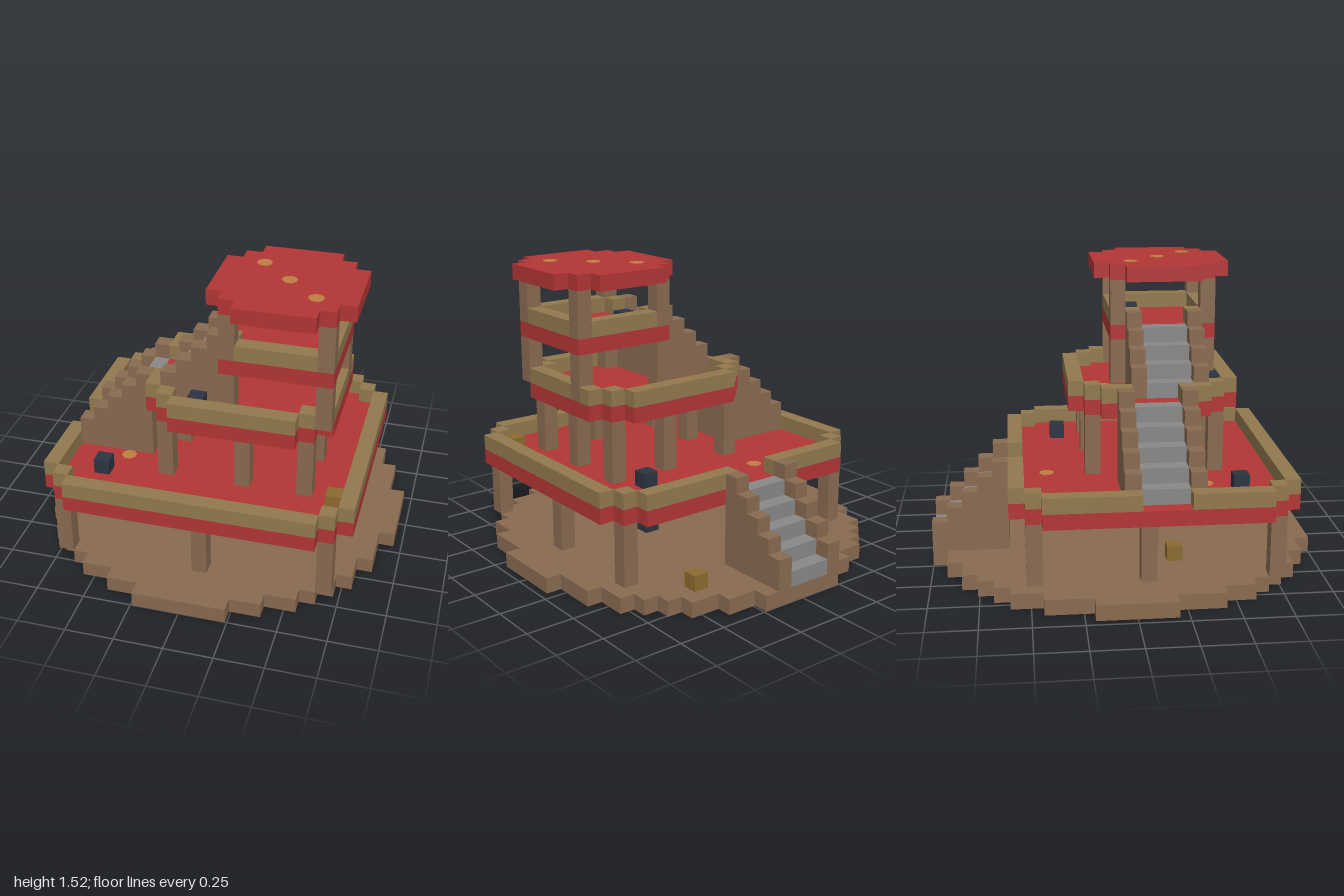
import * as THREE from 'three';
import { mergeGeometries } from 'three/addons/utils/BufferGeometryUtils.js';

// All plans use cells of size U; column 0 starts at x = 0, row 0 at z = -1.
const U = 0.08, Z0 = -1;
const mat = (name, color) => {
  const m = new THREE.MeshStandardMaterial({ color });
  m.name = name;
  return m;
};

const box = (x, y, z, w, h, d) =>
  new THREE.BoxGeometry(w * U, h * U, d * U).translate((x + w / 2) * U, (y + h / 2) * U, (z + d / 2) * U);

function mesh(name, geometry, material) {
  const m = new THREE.Mesh(geometry, material);
  m.name = name;
  return m;
}

// Repeat a [x0, x1] row n times
const rep = (n, row) => Array.from({ length: n }, () => row);

// One-cell-thick slab whose outline follows the rows
function slab(rows, k0, y) {
  const pts = [];
  const add = (x, k) => pts.push(new THREE.Vector2(x * U, -(Z0 + k * U)));
  rows.forEach((r, i) => { add(r[1], k0 + i); add(r[1], k0 + i + 1); });
  [...rows].reverse().forEach((r, i) => {
    const k = k0 + rows.length - i;
    add(r[0], k); add(r[0], k - 1);
  });
  const clean = pts.filter((p, i) => i === 0 || !p.equals(pts[i - 1]));
  return new THREE.ExtrudeGeometry(new THREE.Shape(clean), { depth: U, bevelEnabled: false })
    .rotateX(-Math.PI / 2).translate(0, y * U, 0);
}

// Railing on every edge cell of a deck, except where isGap is true
function railing(rows, k0, y, isGap) {
  const inside = (x, i) => rows[i] !== undefined && x >= rows[i][0] && x < rows[i][1];
  const parts = [];
  rows.forEach((r, i) => {
    for (let x = r[0]; x < r[1]; x++) {
      const edge = !(inside(x - 1, i) && inside(x + 1, i) && inside(x, i - 1) && inside(x, i + 1));
      if (edge && !isGap(x, k0 + i)) parts.push(box(x, y, k0 + i, 1, 1, 1));
    }
  });
  return mergeGeometries(parts).translate(0, 0, Z0);
}

export function createModel() {
  const wood = mat('brownWood', 0x896a50);
  const red = mat('redDeck', 0xb33535);
  const rail = mat('oliveRail', 0x91794d);
  const stone = mat('greyStone', 0x888888);
  const gold = mat('goldCrate', 0x8c6a30);
  const dark = mat('darkCrate', 0x2b3442);
  const lamp = mat('orangeLamp', 0xc27c42);
  const model = new THREE.Group();

  // Round ground plate
  const half = [3, 5, 7, 8, 9, 10, 10, 11, 11, 11, 12, 12];
  const ground = [...half, 12, ...[...half].reverse()].map(h => [-h, h]);
  model.add(mesh('groundPlate', slab(ground, 0, 0), wood));

  // Decks with railings
  const decks = [
    { name: 'lowerDeck', k: 5, y: 5,
      rows: [[-8, 8], [-9, 9], ...rep(14, [-10, 10]), [-9, 9], [-8, 8]],
      gap: (x, k) => (k === 5 && x >= -2 && x < 1) || (x === -10 && k >= 13 && k < 16) },
    { name: 'middleDeck', k: 9, y: 10,
      rows: [[-2, 6], [-3, 7], ...rep(7, [-4, 8]), [-3, 7], [-2, 6]],
      gap: (x, k) => (x === -4 && k >= 13 && k < 16) || (x === 7 && k === 12) },
    { name: 'upperDeck', k: 12, y: 14, rows: rep(7, [1, 8]),
      gap: (x, k) => ((x === 1 || x === 7) && (k === 12 || k === 18)) || (x === 1 && k >= 14 && k < 17) },
    { name: 'roof', k: 11, y: 18, rows: [[2, 7], [1, 8], ...rep(5, [0, 9]), [1, 8], [2, 7]] },
  ];
  for (const d of decks) {
    model.add(mesh(d.name, slab(d.rows, d.k, d.y), red));
    if (d.gap) model.add(mesh(d.name + 'Railing', railing(d.rows, d.k, d.y + 1, d.gap), rail));
  }

  // Posts: x and z cells, bottom and top height
  const posts = (name, y0, y1, cells) => {
    const parts = cells.map(([x, k]) => box(x, y0, k, 1, y1 - y0, 1).translate(0, 0, Z0));
    model.add(mesh(name, mergeGeometries(parts), wood));
  };
  posts('lowerPosts', 1, 5, [[-9, 6], [-1, 6], [8, 6], [-9, 13], [8, 13], [-9, 21], [0, 21], [8, 21]]);
  posts('middlePosts', 6, 10, [[-3, 10], [2, 10], [6, 10], [-3, 14], [6, 14], [-3, 18], [2, 18], [6, 18]]);
  posts('cornerPostsBelowUpperDeck', 11, 14, [[1, 12], [7, 12], [1, 18], [7, 18]]);
  posts('cornerPostsBelowRoof', 15, 18, [[1, 12], [7, 12], [1, 18], [7, 18]]);

  // Staircases rise along local +x, five cells wide with a wall on each side
  const stairs = (name, n, x, y, z, turn) => {
    const walls = [], treads = [];
    for (let i = 0; i < n; i++) {
      walls.push(box(i, 0, 0, 1, i + 2, 1), box(i, 0, 4, 1, i + 2, 1));
      if (i > 0) walls.push(box(i, 0, 1, 1, i, 3));
      treads.push(box(i, i, 1, 1, 1, 3));
    }
    const g = new THREE.Group();
    g.name = name;
    g.add(mesh(name + 'Walls', mergeGeometries(walls), wood), mesh(name + 'Treads', mergeGeometries(treads), stone));
    g.position.set(x, y, z);
    g.rotation.y = turn;
    model.add(g);
  };
  stairs('groundStairs', 5, 0.16, 0.08, -1, -Math.PI / 2);
  stairs('lowerStairs', 5, -0.72, 0.48, -0.04, 0);
  stairs('upperStairs', 4, -0.24, 0.88, 0.04, 0);

  // Crates: x, y, z cells
  const crates = (name, material, cells) => cells.forEach(([x, y, k]) =>
    model.add(mesh(name, box(x, y, k, 1, 1, 1).translate(0, 0, Z0), material)));
  crates('goldCrate', gold, [[-6, 1, 15], [5, 1, 3], [8, 6, 19]]);
  crates('darkCrate', dark, [[2, 1, 12], [5, 6, 8], [-7, 6, 19], [-1, 11, 18], [3, 15, 13]]);

  // Lamps set flush through the decks: x, deck base height, z
  const lampGeo = new THREE.CylinderGeometry(0.04, 0.04, U + 0.006, 8).rotateY(Math.PI / 8);
  for (const [x, y, z] of [[-0.2, 5, -0.4], [-0.44, 5, 0.4], [0.2, 5, 0.48], [0.04, 10, -0.08],
    [0.2, 18, 0.08], [0.36, 18, 0.24], [0.52, 18, 0.4]]) {
    const m = mesh('deckLamp', lampGeo, lamp);
    m.position.set(x, (y + 0.5) * U, z);
    model.add(m);
  }
  return model;
}
